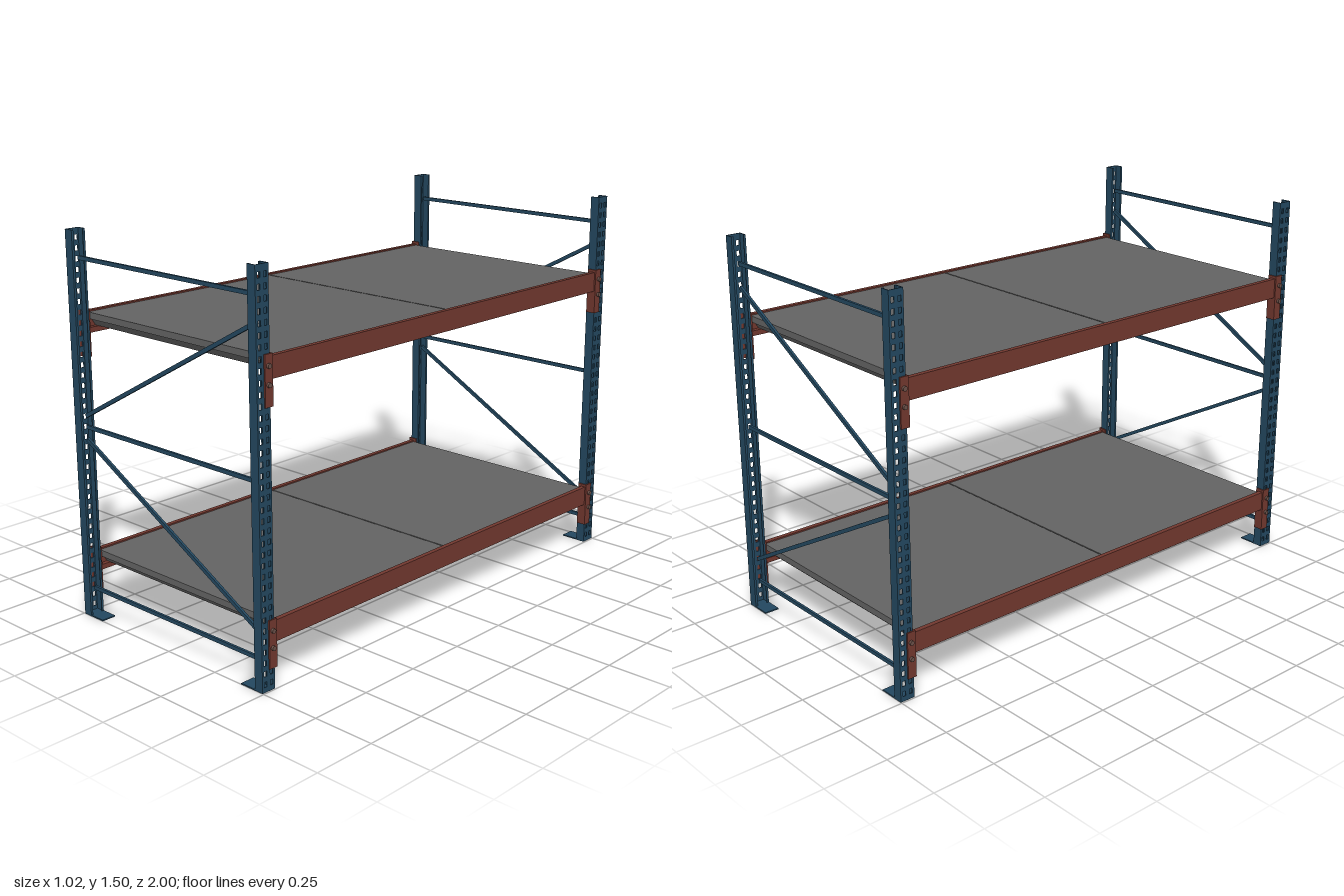
import * as THREE from 'three';

const mat = (name, color) => {
  const m = new THREE.MeshStandardMaterial({ color });
  m.name = name;
  return m;
};

export function createModel() {
  const blue = mat('blue upright paint', 0x23475f);
  const red = mat('red beam paint', 0x70372e);
  const grey = mat('grey deck steel', 0x636363);
  const bolt = mat('bolt steel', 0x6a5048);

  const model = new THREE.Group();
  model.name = 'palletRack';

  const add = (parent, name, geo, material, x = 0, y = 0, z = 0) => {
    const mesh = new THREE.Mesh(geo, material);
    mesh.name = name;
    mesh.position.set(x, y, z);
    parent.add(mesh);
    return mesh;
  };
  const box = (parent, name, material, x0, x1, y0, y1, z0, z1) =>
    add(parent, name, new THREE.BoxGeometry(Math.abs(x1 - x0), y1 - y0, Math.abs(z1 - z0)),
      material, (x0 + x1) / 2, (y0 + y1) / 2, (z0 + z1) / 2);
  // Extrudes a (z, y) outline along x, centred on x = 0
  const extrudeX = (shape, depth) =>
    new THREE.ExtrudeGeometry(shape, { depth, bevelEnabled: false })
      .translate(0, 0, -depth / 2).rotateY(Math.PI / 2);

  const H = 1.505, OUT = 0.495, IN = 0.457, T = 0.004, ZC = 0.97, HALF = 0.03;

  // Perforated outer web of the uprights
  const web = new THREE.Shape([[-HALF, 0], [HALF, 0], [HALF, H], [-HALF, H]]
    .map(([a, b]) => new THREE.Vector2(a, b)));
  for (let y = 0.03; y < H - 0.02; y += 0.04) {
    for (const s of [-1, 1]) {
      const c = s * 0.0145, w = 0.0065, h = 0.01;
      web.holes.push(new THREE.Path([[c - w, y - h], [c - w, y + h], [c + w, y + h], [c + w, y - h]]
        .map(([a, b]) => new THREE.Vector2(a, b))));
    }
  }
  const webGeo = extrudeX(web, T);

  // Uprights: channels open towards the inside, on foot plates
  for (const sx of [-1, 1]) for (const sz of [-1, 1]) {
    const post = new THREE.Group();
    post.name = 'upright';
    model.add(post);
    add(post, 'perforatedWeb', webGeo, blue, sx * (OUT - T / 2), 0, sz * ZC);
    for (const f of [-1, 1]) {
      const edge = sz * ZC + f * HALF;
      box(post, 'flange', blue, sx * (OUT - T), sx * IN, 0, H, edge, edge - f * T);
      box(post, 'lip', blue, sx * (IN + T), sx * IN, 0, H, edge - f * T, edge - f * 0.009);
    }
    box(post, 'footPlate', blue, sx * OUT, sx * 0.387, 0, 0.005, sz * 0.94, sz * 1.0);
  }

  // End frame bracing, the same pattern on both ends
  const brace = (parent, name, y0, y1, z) => {
    const dx = 0.93, dy = y1 - y0;
    const m = add(parent, name, new THREE.BoxGeometry(Math.hypot(dx, dy), 0.015, 0.01),
      blue, 0, (y0 + y1) / 2, z);
    m.rotation.z = Math.atan2(dy, dx);
  };
  for (const z of [-0.97, 0.967]) {
    const frame = new THREE.Group();
    frame.name = 'frameBracing';
    model.add(frame);
    for (const y of [0.108, 0.758, 1.4]) brace(frame, 'horizontalBrace', y, y, z);
    brace(frame, 'diagonalBrace', 0.8, 1.308, z);
    brace(frame, 'diagonalBrace', 0.708, 0.202, z);
  }

  // Ribbed deck panel profile, relative to the beam top
  const panelLength = 0.927, ribs = 9, pitch = panelLength / ribs;
  const pts = [[0, -0.005], [0, -0.03]];
  for (let i = 0; i < ribs; i++) {
    const c = (i + 0.5) * pitch;
    pts.push([c - 0.04, -0.03], [c - 0.02, -0.06], [c + 0.02, -0.06], [c + 0.04, -0.03]);
  }
  pts.push([panelLength, -0.03], [panelLength, -0.005]);
  const deckGeo = extrudeX(new THREE.Shape(pts.map(([a, b]) => new THREE.Vector2(a, b))), 0.95);

  // Beam end connector outline, relative to the beam top
  const boltGeo = new THREE.CylinderGeometry(0.009, 0.009, 0.009, 10).rotateZ(Math.PI / 2);

  for (const top of [0.255, 1.195]) {
    const level = new THREE.Group();
    level.name = 'shelfLevel';
    model.add(level);
    // The profile runs towards -z from its origin
    add(level, 'deckPanel', deckGeo, grey, 0, top, -0.0025);
    add(level, 'deckPanel', deckGeo, grey, 0, top, 0.0025 + panelLength);

    for (const sx of [-1, 1]) {
      // Stepped beam with a ledge carrying the deck
      box(level, 'beam', red, sx * OUT, sx * 0.476, top - 0.08, top, -0.938, 0.938);
      box(level, 'beamLedge', red, sx * 0.476, sx * 0.457, top - 0.08, top - 0.06, -0.938, 0.938);
      for (const sz of [-1, 1]) {
        box(level, 'connectorPlate', red, sx * OUT, sx * 0.501, top - 0.172, top + 0.01,
          sz * 0.932, sz * 0.968);
        box(level, 'connectorReturn', red, sx * OUT, sx * 0.462, top - 0.172, top + 0.01,
          sz * 0.932, sz * 0.938);
        for (const dy of [-0.03, -0.095])
          add(level, 'connectorBolt', boltGeo, bolt, sx * 0.5055, top + dy, sz * 0.953);
      }
    }
  }
  return model;
}
